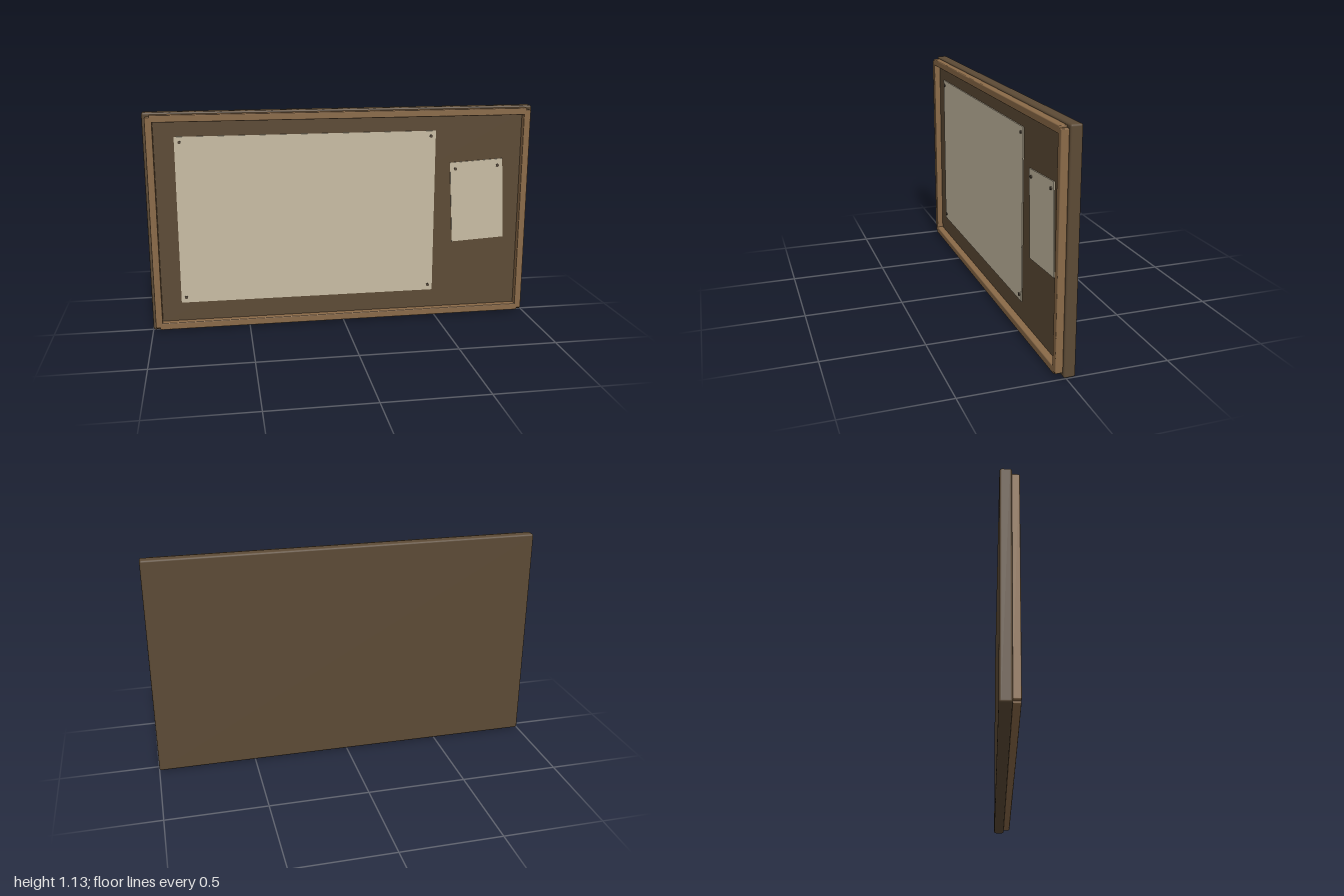
import * as THREE from 'three';
import { RoundedBoxGeometry } from 'three/addons/geometries/RoundedBoxGeometry.js';

const darkWood = new THREE.MeshStandardMaterial({ name: 'darkWood', color: 0x5c4a35 });
const frameWood = new THREE.MeshStandardMaterial({ name: 'frameWood', color: 0x8a6a48 });
const paper = new THREE.MeshStandardMaterial({ name: 'paper', color: 0xc8bca3 });
const pinMetal = new THREE.MeshStandardMaterial({ name: 'pinMetal', color: 0x54483a });

const MID = 0.566; // height of the board's centre
const FACE = 0.011; // z of the board's front face

function add(parent, name, geometry, material, x, y, z) {
  const mesh = new THREE.Mesh(geometry, material);
  mesh.name = name;
  mesh.position.set(x, y, z);
  parent.add(mesh);
  return mesh;
}

// A sheet of paper with pins at the given offsets from its centre
function sheet(name, w, h, x, y, angle, pins) {
  const group = new THREE.Group();
  group.name = name;
  group.position.set(x, y, FACE);
  group.rotation.z = angle;
  add(group, name + 'Paper', new THREE.BoxGeometry(w, h, 0.005), paper, 0, 0, 0.0025);
  for (const [px, py] of pins) {
    const pin = add(group, 'pin', new THREE.CylinderGeometry(0.008, 0.008, 0.006, 12), pinMetal, px, py, 0.007);
    pin.rotation.x = Math.PI / 2;
  }
  return group;
}

export function createModel() {
  const model = new THREE.Group();
  model.name = 'noticeBoard';

  // Backing board with softened edges
  add(model, 'backBoard', new RoundedBoxGeometry(2, 1.132, 0.056, 2, 0.01), darkWood, 0, MID, FACE - 0.028);

  // Raised frame rails, the corners slightly stepped
  const depth = 0.042;
  const z = 0.046 - depth / 2;
  for (const s of [-1, 1]) {
    add(model, s > 0 ? 'topRail' : 'bottomRail',
      new RoundedBoxGeometry(1.926, 0.036, depth, 1, 0.005), frameWood, 0, MID + s * 0.538, z);
    add(model, s > 0 ? 'leftRail' : 'rightRail',
      new RoundedBoxGeometry(0.036, 1.092, depth, 1, 0.005), frameWood, s * 0.967, MID, z);
  }

  // Pinned sheets: a large one and a small tilted note
  const corners = [[-1, -1], [1, -1], [-1, 1], [1, 1]].map(([a, b]) => [a * 0.642, b * 0.405]);
  model.add(sheet('largeSheet', 1.334, 0.866, -0.182, 0.577, 0, corners));
  model.add(sheet('smallNote', 0.285, 0.43, 0.72, 0.632, 0.055, [[-0.115, 0.18], [0.115, 0.18]]));

  return model;
}
